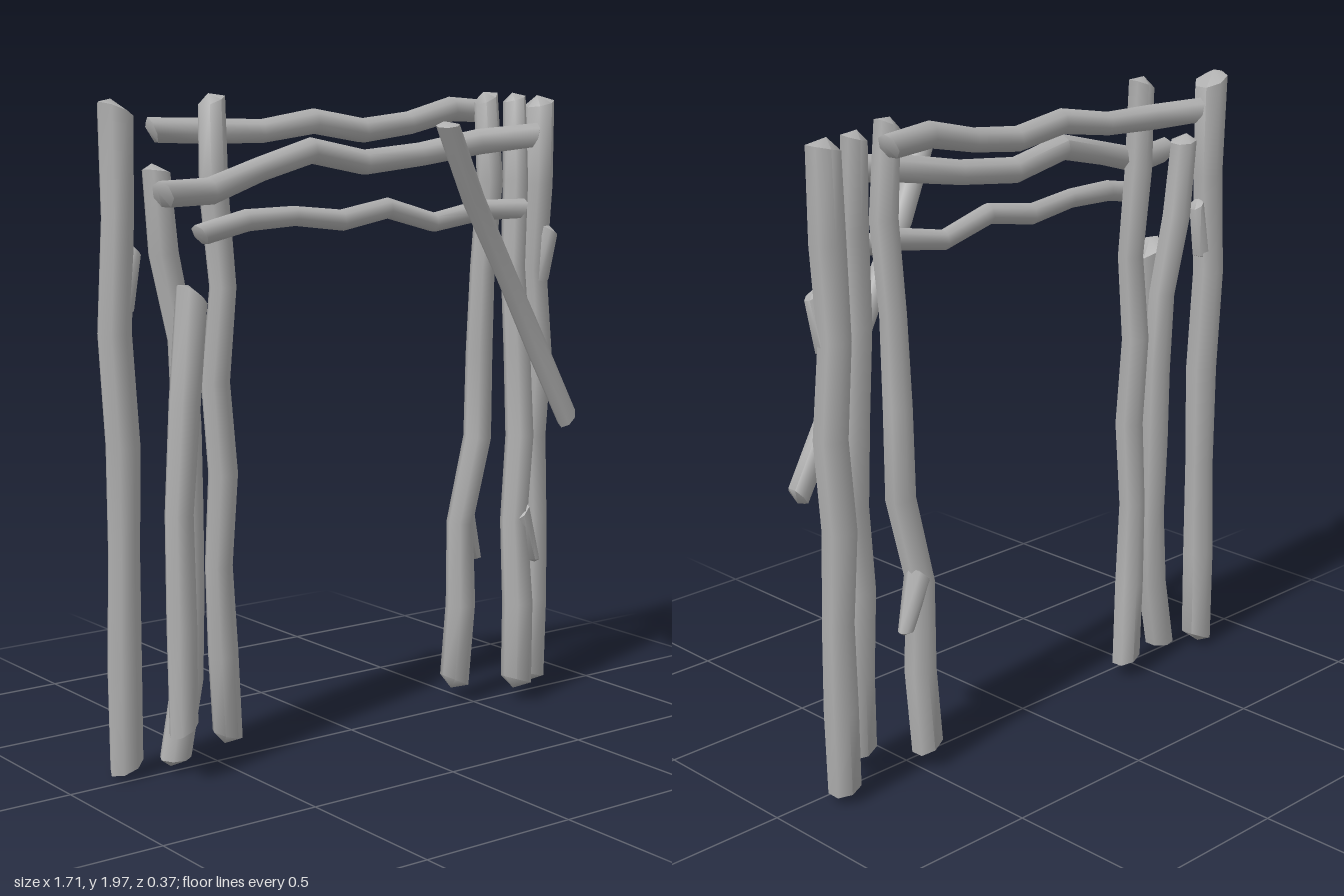
import * as THREE from 'three';
import { toCreasedNormals } from 'three/addons/utils/BufferGeometryUtils.js';

const SIDES = 7;
const { lerp } = THREE.MathUtils;

// Log swept along its centres; both ends are chiselled to an off-centre tip
function logGeometry(centres, radius, taper, tilt) {
  const last = centres.length - 1;
  const front = new THREE.Vector3(0, 0, 1);
  const pos = [], index = [], tips = [];
  centres.forEach((c, i) => {
    const t = centres[Math.min(i + 1, last)].clone().sub(centres[Math.max(i - 1, 0)]).normalize();
    const u = front.clone().cross(t).normalize();
    const v = t.clone().cross(u);
    const r = radius * lerp(1, taper, i / last) * (1 + 0.05 * Math.sin(i * 2.3));
    const end = i === 0 ? -1 : i === last ? 1 : 0;
    for (let j = 0; j < SIDES; j++) {
      const a = j / SIDES * Math.PI * 2;
      const p = c.clone().addScaledVector(u, Math.cos(a) * r).addScaledVector(v, Math.sin(a) * r);
      p.addScaledVector(t, end * r * (tilt * Math.cos(a) - 0.4));
      pos.push(...p);
    }
    if (end) tips.push(...c.clone().addScaledVector(t, end * r * 0.15).addScaledVector(u, r * 0.25));
  });
  pos.push(...tips);
  const tip = centres.length * SIDES;
  for (let j = 0; j < SIDES; j++) {
    const k = (j + 1) % SIDES;
    for (let i = 0; i < last; i++) {
      const a = i * SIDES + j, b = i * SIDES + k;
      index.push(a, b, b + SIDES, a, b + SIDES, a + SIDES);
    }
    index.push(tip, k, j, tip + 1, last * SIDES + j, last * SIDES + k);
  }
  const g = new THREE.BufferGeometry();
  g.setAttribute('position', new THREE.Float32BufferAttribute(pos, 3));
  g.setIndex(index);
  return toCreasedNormals(g, 0.95);
}

export function createModel() {
  const wood = new THREE.MeshStandardMaterial({ color: 0xb0b0b0 });
  wood.name = 'greyWood';
  const group = new THREE.Group();
  group.name = 'logArch';

  // Bends sit at even steps along the run; depth goes from z0 to z1 with a bow
  function log(name, radius, [from, to], [z0, z1, bow = 0], bends, { taper = 1, tilt = 0.4, flat = false } = {}) {
    const centres = bends.map((b, i) => {
      const s = i / (bends.length - 1);
      const run = lerp(from, to, s);
      const z = lerp(z0, z1, s) + bow * 4 * s * (1 - s);
      return flat ? new THREE.Vector3(run, b, z) : new THREE.Vector3(b, run, z);
    });
    const mesh = new THREE.Mesh(logGeometry(centres, radius, taper, tilt), wood);
    mesh.name = name;
    group.add(mesh);
  }

  // left posts: bends are x positions from bottom to top
  log('leftOuterPost', 0.05, [0.02, 1.965], [-0.05, -0.05, 0.01], [-0.785, -0.79, -0.787, -0.785, -0.805, -0.787, -0.785]);
  log('leftInnerPost', 0.046, [0.05, 1.98], [-0.05, -0.035, 0.02],
    [-0.43, -0.452, -0.47, -0.455, -0.48, -0.45, -0.475, -0.475], { tilt: -0.4, taper: 0.9 });
  log('leftMiddlePost', 0.047, [0.03, 1.785], [-0.01, -0.06, 0.01],
    [-0.645, -0.595, -0.58, -0.58, -0.577, -0.585, -0.635, -0.65], { tilt: 0.2, taper: 0.9 });
  log('leftFrontPost', 0.043, [0.15, 1.44], [0.1, 0.03], [-0.68, -0.672, -0.665, -0.63, -0.59], { tilt: 0.5, taper: 1.1 });

  // right posts
  log('rightInnerPost', 0.049, [0.06, 1.98], [-0.06, 0],
    [0.465, 0.483, 0.47, 0.533, 0.53, 0.533, 0.553, 0.525], { tilt: -0.4, taper: 0.8 });
  log('rightMiddlePost', 0.051, [0.06, 1.975], [0.06, -0.065, 0.01],
    [0.63, 0.643, 0.635, 0.67, 0.67, 0.665, 0.69, 0.7], { tilt: -0.3, taper: 0.75 });
  log('rightOuterPost', 0.05, [0.03, 1.965], [-0.05, -0.055, -0.01],
    [0.785, 0.795, 0.8, 0.787, 0.81, 0.785, 0.798, 0.8], { tilt: -0.25 });

  // cross beams: bends are heights from right to left of the arch
  log('topBeam', 0.038, [-0.62, 0.6], [-0.15, -0.075, 0.06],
    [1.88, 1.875, 1.873, 1.9, 1.87, 1.89, 1.93, 1.92], { flat: true });
  log('middleBeam', 0.039, [-0.73, 0.67], [0.09, 0.085, -0.12],
    [1.71, 1.71, 1.765, 1.815, 1.775, 1.795, 1.83, 1.85], { flat: true });
  log('lowerBeam', 0.032, [-0.6, 0.63], [0.075, 0.07, -0.03],
    [1.59, 1.625, 1.63, 1.61, 1.64, 1.59, 1.62, 1.62], { flat: true });

  // diagonal brace
  log('diagonalBrace', 0.035, [0.92, 1.9], [0.08, 0.155, -0.03], [0.825, 0.69, 0.545, 0.385, 0.24]);

  // broken branch stubs
  log('leftOuterStub', 0.035, [1.36, 1.56], [-0.04, -0.045], [-0.785, -0.735], { taper: 0.7 });
  log('rightInnerStub', 0.042, [0.65, 0.47], [-0.05, -0.07], [0.48, 0.555], { taper: 0.55 });
  log('rightMiddleStub', 0.042, [0.65, 0.465], [0.04, 0.055], [0.64, 0.7], { taper: 0.55 });
  log('rightOuterStub', 0.034, [1.36, 1.55], [-0.05, -0.01], [0.795, 0.815], { taper: 0.8 });
  return group;
}
